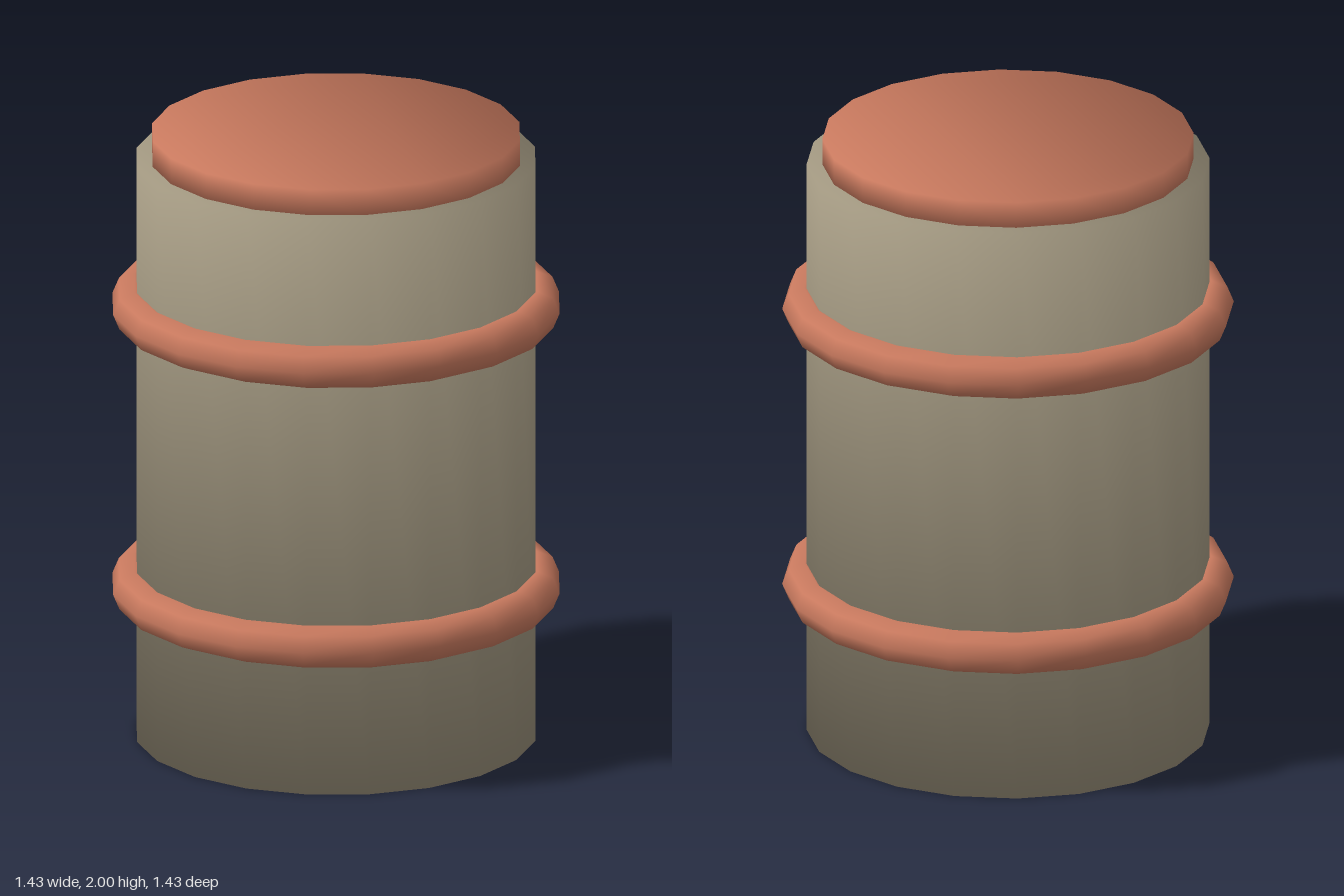
import * as THREE from 'three';

const SIDES = 20;

// Closed 20-sided drum whose normals flow softly over the rims
function softDrum(radius, y0, y1) {
  const pts = [];
  for (let i = 0; i < SIDES; i++) {
    const a = (i / SIDES) * Math.PI * 2;
    pts.push(new THREE.Vector2(Math.cos(a) * radius, Math.sin(a) * radius));
  }
  const geo = new THREE.ExtrudeGeometry(new THREE.Shape(pts), { depth: y1 - y0, bevelEnabled: false });
  geo.rotateX(-Math.PI / 2).translate(0, y0, 0);
  const pos = geo.attributes.position;
  const mid = (y0 + y1) / 2;
  const n = new THREE.Vector3();
  for (let i = 0; i < pos.count; i++) {
    n.set(pos.getX(i) / radius, pos.getY(i) > mid ? 1 : -1, pos.getZ(i) / radius).normalize();
    geo.attributes.normal.setXYZ(i, n.x, n.y, n.z);
  }
  return geo;
}

export function createModel() {
  const group = new THREE.Group();
  const grey = new THREE.MeshStandardMaterial({ color: 0xa0967f });
  const rust = new THREE.MeshStandardMaterial({ color: 0xc8795e });

  const add = (name, geo, mat) => {
    const mesh = new THREE.Mesh(geo, mat);
    mesh.name = name;
    group.add(mesh);
    return mesh;
  };

  // Barrel body and the lid set on top
  add('body', softDrum(0.638, 0, 1.915), grey);
  add('lid', softDrum(0.588, 1.9, 2), rust);

  // Two raised hoops, octagonal in section
  const hoop = new THREE.TorusGeometry(0.645, 0.07, 8, SIDES).rotateX(Math.PI / 2);
  add('lowerHoop', hoop, rust).position.y = 0.495;
  add('upperHoop', hoop, rust).position.y = 1.428;

  return group;
}
